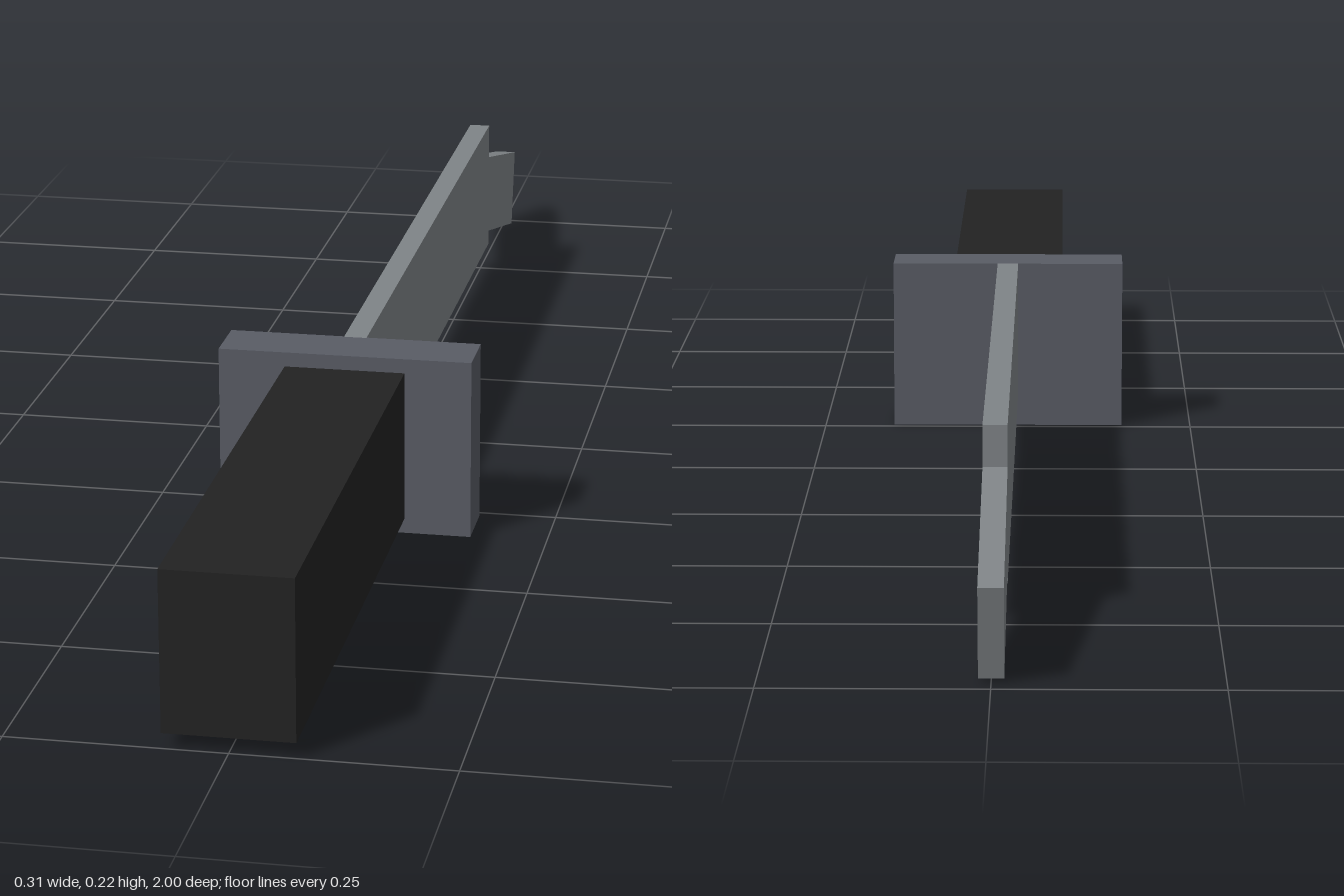
import * as THREE from 'three';

export function createModel() {
  const model = new THREE.Group();
  const material = (name, color) => {
    const m = new THREE.MeshStandardMaterial({ color });
    m.name = name;
    return m;
  };
  const grip = material('black grip', 0x222222);
  const guard = material('dark slate metal', 0x595c65);
  const steel = material('grey steel', 0x7f8487);

  // A box given by its size and centre
  const box = (name, mat, size, centre) => {
    const mesh = new THREE.Mesh(new THREE.BoxGeometry(...size), mat);
    mesh.name = name;
    mesh.position.set(...centre);
    model.add(mesh);
    return mesh;
  };

  box('handle', grip, [0.148, 0.189, 0.667], [0, 0.1125, 0.6665]);
  box('crossGuard', guard, [0.312, 0.225, 0.073], [0, 0.1125, 0.297]);
  box('blade', steel, [0.028, 0.182, 0.996], [0, 0.134, -0.236]);

  // Narrow tip drooping from the end of the blade
  const tip = box('bladeTip', steel, [0.028, 0.11, 0.28], [0, 0.091, -0.851]);
  tip.rotation.x = -0.245;

  return model;
}
